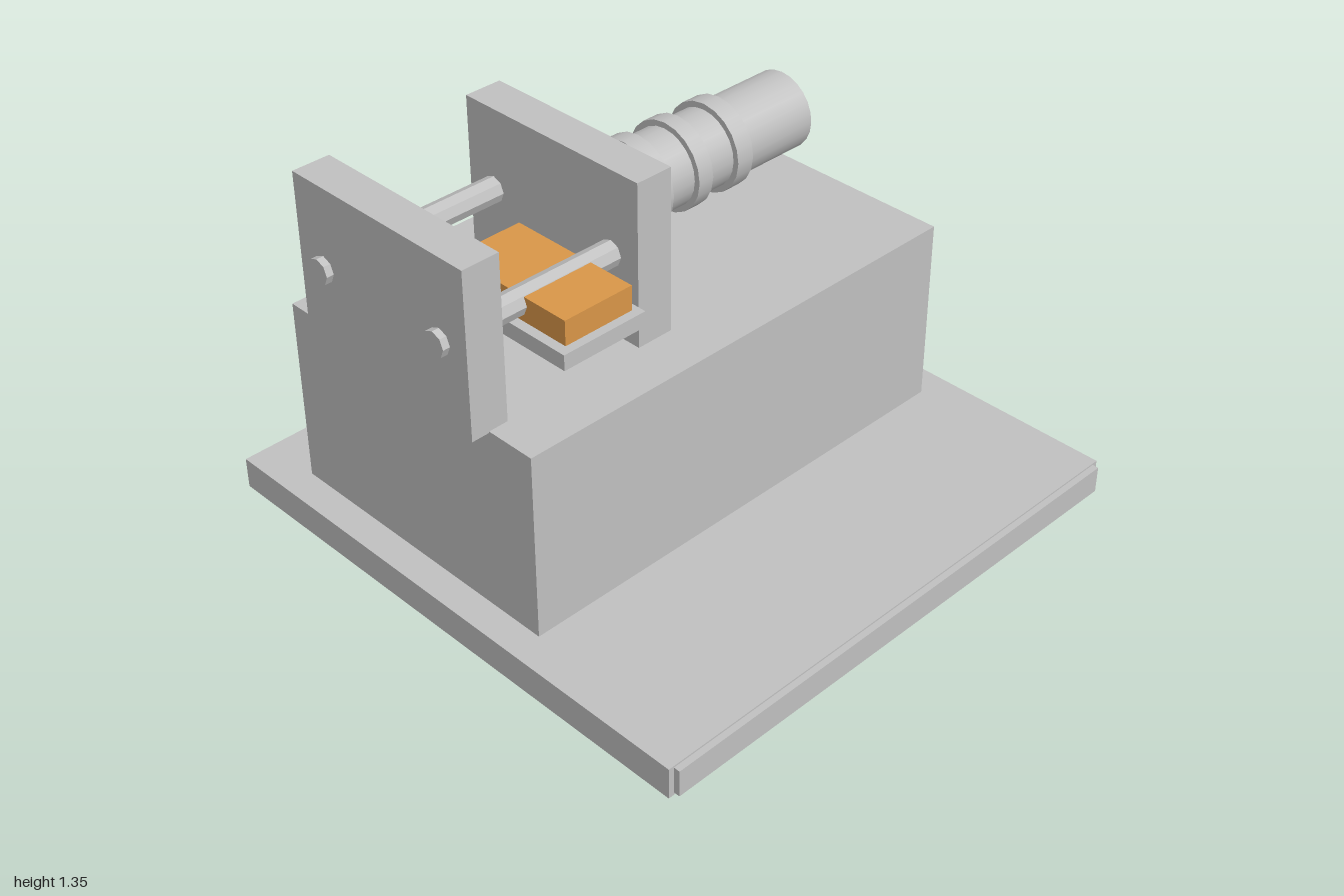
import * as THREE from 'three';

export function createModel() {
  const model = new THREE.Group();
  const metal = new THREE.MeshStandardMaterial({ color: 0xc0c0c0 });
  metal.name = 'grey metal';
  const rodMetal = metal.clone();
  rodMetal.name = 'grey rod metal';
  rodMetal.flatShading = true;
  const orange = new THREE.MeshStandardMaterial({ color: 0xd89648 });
  orange.name = 'orange';

  // Box given by its minimum and maximum corners
  const box = (name, material, [x0, y0, z0], [x1, y1, z1]) => {
    const mesh = new THREE.Mesh(new THREE.BoxGeometry(x1 - x0, y1 - y0, z1 - z0), material);
    mesh.position.set((x0 + x1) / 2, (y0 + y1) / 2, (z0 + z1) / 2);
    mesh.name = name;
    model.add(mesh);
  };

  // Cylinder lying along x
  const bar = (name, material, x0, x1, y, z, radius, sides) => {
    const geometry = new THREE.CylinderGeometry(radius, radius, x1 - x0, sides);
    geometry.rotateZ(-Math.PI / 2);
    const mesh = new THREE.Mesh(geometry, material);
    mesh.position.set((x0 + x1) / 2, y, z);
    mesh.name = name;
    model.add(mesh);
  };

  // Base plate with front strip, and the pedestal
  box('basePlate', metal, [-0.99, 0, -1], [0.985, 0.112, 0.975]);
  box('frontStrip', metal, [-0.97, 0.01, 0.975], [0.965, 0.106, 0.997]);
  box('pedestal', metal, [-0.882, 0.112, -0.785], [0.876, 0.775, 0.32]);

  // Upright end plates
  box('outerPlate', metal, [-0.945, 0.77, -0.61], [-0.812, 1.345, 0.142]);
  box('innerPlate', metal, [-0.29, 0.77, -0.61], [-0.155, 1.345, 0.142]);

  // Guide rods
  for (const z of [-0.498, 0.026]) bar('guideRod', rodMetal, -0.97, -0.28, 1.061, z, 0.044, 8);

  // Tray and sliding block
  box('tray', metal, [-0.688, 0.944, -0.283], [-0.37, 0.998, 0.254]);
  box('slidingBlock', orange, [-0.66, 1.004, -0.256], [-0.4, 1.09, 0.23]);

  // Barrel with collars
  bar('barrel', metal, -0.16, 0.725, 1.056, -0.232, 0.136, 24);
  [[-0.158, -0.096], [0.01, 0.074], [0.186, 0.247], [0.36, 0.428]].forEach(([x0, x1], i) =>
    bar('collar', metal, x0, x1, 1.056, -0.232, i ? 0.157 : 0.161, 20));

  return model;
}
